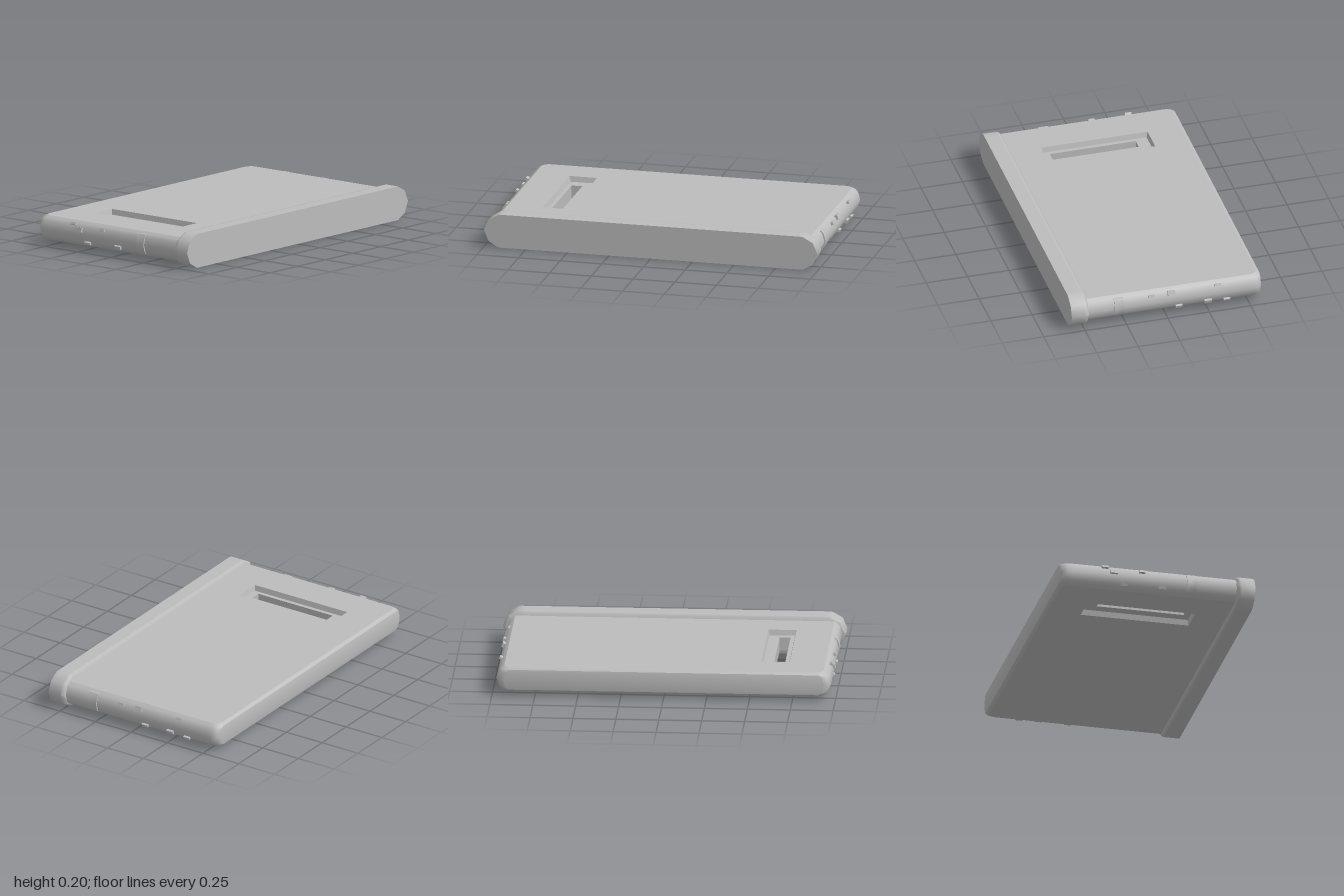
import * as THREE from 'three';
import { toCreasedNormals } from 'three/addons/utils/BufferGeometryUtils.js';

const grey = new THREE.MeshStandardMaterial({ color: 0xbcbcbc });
grey.name = 'caseGrey';

function addMesh(parent, name, geometry) {
  const mesh = new THREE.Mesh(geometry, grey);
  mesh.name = name;
  parent.add(mesh);
  return mesh;
}

// Joins closed rings with equal point counts into a skin.
function loft(rings, crease) {
  const n = rings[0].length, index = [];
  for (let i = 0; i < rings.length - 1; i++) {
    for (let j = 0; j < n; j++) {
      const a = i * n + j, b = i * n + (j + 1) % n;
      index.push(a, b, b + n, a, b + n, a + n);
    }
  }
  const geo = new THREE.BufferGeometry();
  geo.setAttribute('position', new THREE.Float32BufferAttribute(rings.flat(2), 3));
  geo.setIndex(index);
  return toCreasedNormals(geo, crease);
}

// Horizontal body outline with rounded back corners, counterclockwise from above.
function bodyRing(y, hx, back) {
  const r = 0.045, ring = [[-hx, y, 0.5], [hx, y, 0.5], [hx, y, back + r + 0.03]];
  for (let i = 0; i <= 4; i++) {
    const a = i / 4 * Math.PI / 2;
    ring.push([hx - r + r * Math.cos(a), y, back + r - r * Math.sin(a)]);
  }
  for (let i = 0; i <= 4; i++) {
    const a = Math.PI / 2 + i / 4 * Math.PI / 2;
    ring.push([-hx + r + r * Math.cos(a), y, back + r - r * Math.sin(a)]);
  }
  ring.push([-hx, y, back + r + 0.03]);
  return ring;
}

function rectRing(y, x0, x1, z0, z1) {
  return [[x0, y, z1], [x1, y, z1], [x1, y, z0], [x0, y, z0]];
}

// Flat plate with the recess cut out; side is 1 for the top, -1 for the underside.
function plate(ring, hole, side) {
  const flat = r => r.map(p => new THREE.Vector2(p[0], -side * p[2]));
  const shape = new THREE.Shape(flat(ring));
  shape.holes.push(new THREE.Path(flat(hole)));
  return new THREE.ShapeGeometry(shape).rotateX(-side * Math.PI / 2).translate(0, ring[0][1], 0);
}

// Upright cap outline in the xy plane.
function capRing(z, inset, squash = 1) {
  const half = [[1, 0], [0.972, 0.065], [0.91, 0.1], [0.87, 0.1]];
  const point = (x, y) => [x - Math.sign(x) * inset, 0.1 + y * squash * (1 - inset * 10), z];
  return [
    ...half.map(([x, y]) => point(x, y)),
    ...half.slice().reverse().map(([x, y]) => point(-x, y)),
    ...half.slice(1).map(([x, y]) => point(-x, -y)),
    ...half.slice(1).reverse().map(([x, y]) => point(x, -y)),
  ];
}

export function createModel() {
  const model = new THREE.Group();
  model.name = 'flatCase';

  // Slab body: rounded sides, flat faces, recessed slot through both faces
  const body = new THREE.Group();
  body.name = 'body';
  model.add(body);
  const levels = [
    [0.028, 0.93, -0.56], [0.04, 0.948, -0.578], [0.055, 0.962, -0.58], [0.1, 0.975, -0.58],
    [0.145, 0.962, -0.58], [0.16, 0.948, -0.578], [0.172, 0.93, -0.56],
  ];
  const rings = levels.map(l => bodyRing(...l));
  addMesh(body, 'bodySides', loft(rings, 0.8));
  const rim = y => rectRing(y, -0.722, -0.557, -0.36, 0.285);
  const floor = y => rectRing(y, -0.714, -0.565, -0.352, 0.277);
  const slot = y => rectRing(y, -0.69, -0.626, -0.28, 0.24);
  addMesh(body, 'topFace', plate(rings[6], rim(0.172), 1));
  addMesh(body, 'bottomFace', plate(rings[0], rim(0.028), -1));
  addMesh(body, 'slotRecess', loft(
    [rim(0.172), floor(0.14), slot(0.14), slot(0.06), floor(0.06), rim(0.028)], 0.2));

  // Wide end cap, bevelled toward the body
  addMesh(model, 'endCap', loft([
    capRing(0.474, 0.012, 0), capRing(0.474, 0.012), capRing(0.488, 0),
    capRing(0.5, 0), capRing(0.58, 0), capRing(0.58, 0, 0),
  ], 0.9));

  // Small raised nubs on each side: [z, y, length, height]
  const nubs = {
    1: [[0.09, 0.143, 0.04, 0.016], [-0.03, 0.146, 0.044, 0.026], [-0.31, 0.152, 0.04, 0.014],
      [-0.075, 0.055, 0.04, 0.016], [-0.25, 0.06, 0.045, 0.022], [-0.365, 0.053, 0.04, 0.014]],
    [-1]: [[-0.09, 0.143, 0.035, 0.016], [-0.26, 0.125, 0.044, 0.026], [-0.31, 0.152, 0.04, 0.014],
      [0.03, 0.06, 0.045, 0.02], [-0.2, 0.055, 0.04, 0.016]],
  };
  for (const side of [1, -1]) {
    const group = new THREE.Group();
    group.name = side > 0 ? 'leftNubs' : 'rightNubs';
    model.add(group);
    for (const [z, y, length, height] of nubs[side]) {
      const d = (y - 0.1) / 0.06;
      const nub = addMesh(group, 'nub', new THREE.BoxGeometry(0.026, height, length));
      nub.position.set(side * (0.972 - 0.018 * d * d), y, z);
      nub.rotation.z = side * d * 0.5;
    }

    // Thin wraparound side band near the cap
    const z = side > 0 ? 0.287 : 0.205, w = 0.028;
    const outline = [[0.93, 0.162], [0.958, 0.16], [0.972, 0.14], [0.982, 0.1],
      [0.972, 0.062], [0.958, 0.045], [0.93, 0.043]];
    const shape = new THREE.Shape(outline.map(([x, y]) => new THREE.Vector2(side * x, y)));
    const band = new THREE.ExtrudeGeometry(shape, { depth: w * 2, bevelEnabled: false });
    addMesh(model, side > 0 ? 'leftBand' : 'rightBand', toCreasedNormals(band.translate(0, 0, z - w), 0.8));
  }
  return model;
}
